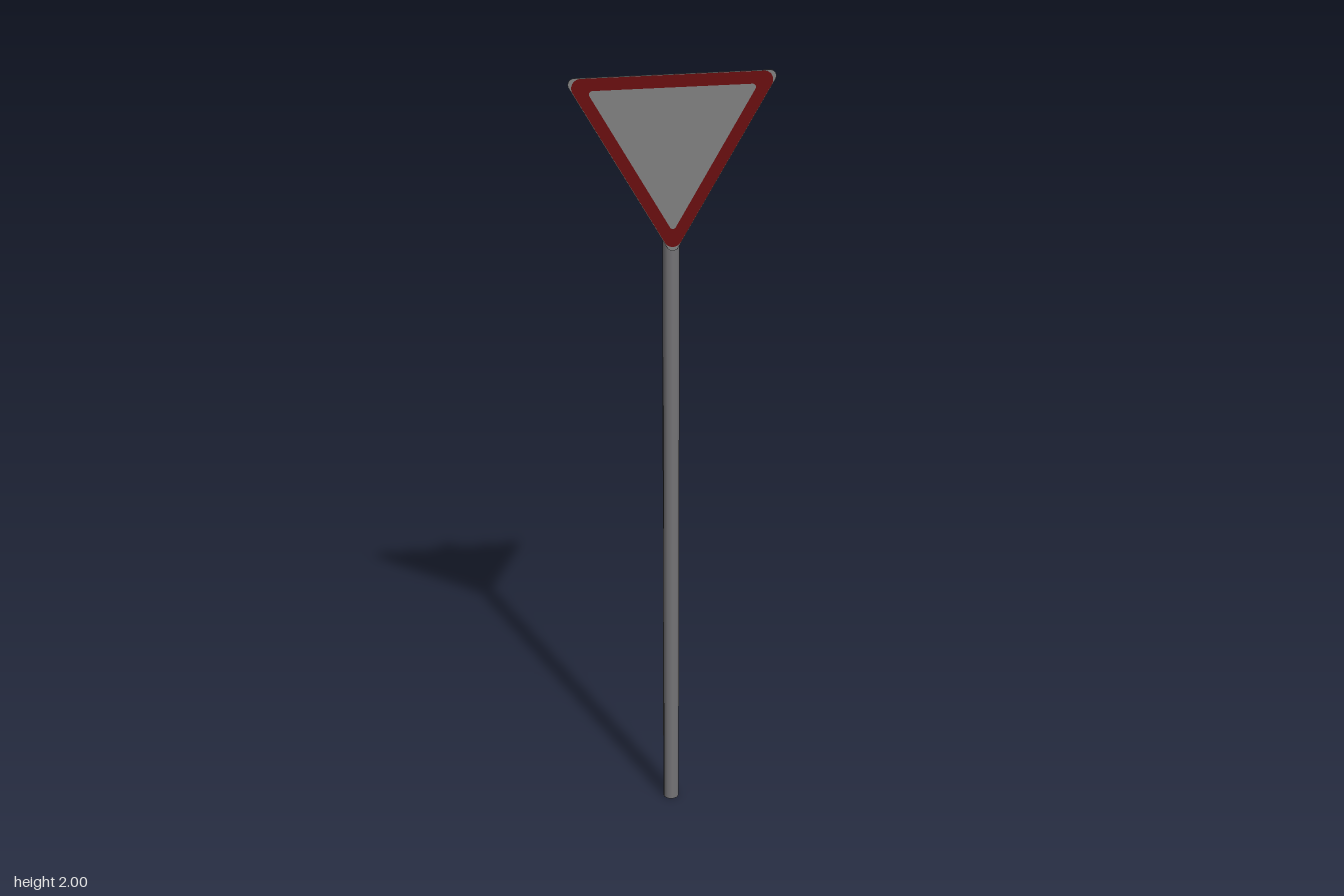
import * as THREE from 'three';

const metal = new THREE.MeshStandardMaterial({ color: 0x757477 });
metal.name = 'galvanised grey';
const plateGrey = new THREE.MeshStandardMaterial({ color: 0x808080 });
plateGrey.name = 'plate grey';
const red = new THREE.MeshStandardMaterial({ color: 0x6a0e10 });
red.name = 'dark red';

const SIGN_Y = 1.852; // centre of the triangle
const PLATE_Z = 0.024;
const POLE_RADIUS = 0.021;

// Point-down triangle: edge distance from centre, rounded by radius r
function triangle(distance, r, Path = THREE.Shape) {
  const path = new Path();
  const reach = 2 * (distance - r);
  for (const deg of [-90, 30, 150]) {
    const a = THREE.MathUtils.degToRad(deg);
    path.absarc(reach * Math.cos(a), reach * Math.sin(a), r, a - Math.PI / 3, a + Math.PI / 3, false);
  }
  path.closePath();
  return path;
}

function add(parent, name, geometry, material, x = 0, y = 0, z = 0) {
  const mesh = new THREE.Mesh(geometry, material);
  mesh.name = name;
  mesh.position.set(x, y, z);
  parent.add(mesh);
  return mesh;
}

// Strap bent around the back of the pole, with a bolted foot on each side
function createClamp() {
  const clamp = new THREE.Group();
  clamp.name = 'clamp';
  const height = 0.025, outer = 0.025, inner = 0.0212, foot = 0.052, bends = 5;

  // Drawn with shape y pointing to the back of the sign
  const strap = new THREE.Shape();
  strap.moveTo(foot, -0.0235);
  strap.lineTo(foot, -0.019);
  strap.lineTo(outer, -0.019);
  for (let i = 0; i <= bends; i++) {
    const a = (i / bends) * Math.PI;
    strap.lineTo(outer * Math.cos(a), outer * Math.sin(a) + 0.002);
  }
  strap.lineTo(-outer, -0.019);
  strap.lineTo(-foot, -0.019);
  strap.lineTo(-foot, -0.0235);
  strap.lineTo(-inner, -0.0235);
  for (let i = bends; i >= 0; i--) {
    const a = (i / bends) * Math.PI;
    strap.lineTo(inner * Math.cos(a), inner * Math.sin(a) + 0.002);
  }
  strap.lineTo(inner, -0.0235);
  strap.closePath();
  const geometry = new THREE.ExtrudeGeometry(strap, { depth: height, bevelEnabled: false });
  geometry.translate(0, 0, -height / 2).rotateX(-Math.PI / 2);
  add(clamp, 'strap', geometry, metal);

  // Nut and bolt end on each foot
  for (const side of [-1, 1]) {
    const nut = new THREE.CylinderGeometry(0.005, 0.005, 0.004, 6).rotateX(Math.PI / 2);
    add(clamp, 'nut', nut, metal, side * 0.039, 0, 0.017);
    const bolt = new THREE.CylinderGeometry(0.0025, 0.0025, 0.008, 6).rotateX(Math.PI / 2);
    add(clamp, 'bolt', bolt, metal, side * 0.039, 0, 0.016);
  }
  return clamp;
}

export function createModel() {
  const model = new THREE.Group();
  model.name = 'yieldSign';

  // Pole with a low domed cap
  const poleTop = 1.97;
  add(model, 'pole', new THREE.CylinderGeometry(POLE_RADIUS, POLE_RADIUS, poleTop, 10), metal, 0, poleTop / 2);
  const dome = [[POLE_RADIUS, 0], [0.017, 0.004], [0.009, 0.006], [0, 0.007]].map(([x, y]) => new THREE.Vector2(x, y));
  add(model, 'poleCap', new THREE.LatheGeometry(dome, 10), metal, 0, poleTop);

  // Clamps
  for (const y of [1.96, 1.742]) {
    const clamp = createClamp();
    clamp.position.y = y;
    model.add(clamp);
  }

  // Plate
  const plate = new THREE.ExtrudeGeometry(triangle(0.148, 0.015), { depth: 0.002, bevelEnabled: false, curveSegments: 6 });
  add(model, 'signPlate', plate, plateGrey, 0, SIGN_Y, PLATE_Z - 0.0005);

  // Painted red border, leaving grey tips and the grey middle
  const border = triangle(0.1465, 0.022);
  border.holes.push(triangle(0.117, 0.008, THREE.Path));
  add(model, 'redBorder', new THREE.ShapeGeometry(border, 6), red, 0, SIGN_Y, PLATE_Z + 0.0023);

  return model;
}
